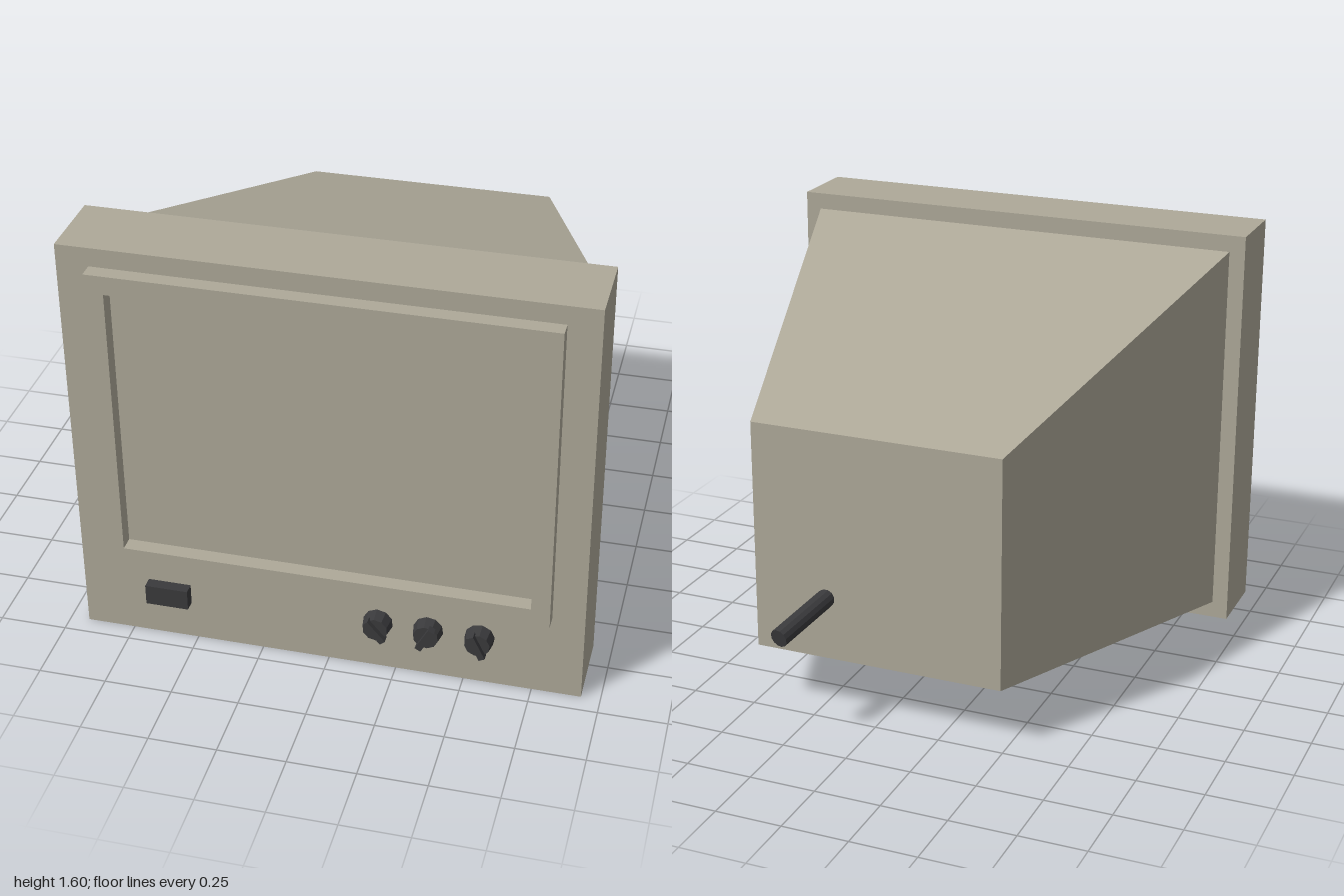
import * as THREE from 'three';

const shell = new THREE.MeshStandardMaterial({ color: 0xaea999, flatShading: true });
const dark = new THREE.MeshStandardMaterial({ color: 0x3a3a3c, flatShading: true });

export function createModel() {
  const model = new THREE.Group();
  const add = (name, geometry, material, x = 0, y = 0, z = 0, parent = model) => {
    const mesh = new THREE.Mesh(geometry, material);
    mesh.name = name;
    mesh.position.set(x, y, z);
    parent.add(mesh);
    return mesh;
  };

  // Front bezel slab
  add('bezel', new THREE.BoxGeometry(1.86, 1.6, 0.29), shell, 0, 0.8, 0.785);

  // Raised rim around the screen; the bezel face forms the flat screen
  const rim = new THREE.Shape([[-0.813, 0.335], [0.813, 0.335], [0.813, 1.53], [-0.813, 1.53]]
    .map(([x, y]) => new THREE.Vector2(x, y)));
  rim.holes.push(new THREE.Path([[-0.745, 0.405], [-0.745, 1.46], [0.745, 1.46], [0.745, 0.405]]
    .map(([x, y]) => new THREE.Vector2(x, y))));
  add('screenRim', new THREE.ExtrudeGeometry(rim, { depth: 0.057, bevelEnabled: false }), shell, 0, 0, 0.93);

  // Rear housing: a box tapering towards the back
  const housing = new THREE.BoxGeometry(2, 1, 1);
  const p = housing.attributes.position;
  for (let i = 0; i < p.count; i++) {
    const front = p.getZ(i) > 0, top = p.getY(i) > 0;
    p.setXYZ(i,
      Math.sign(p.getX(i)) * (front ? 0.87 : 0.483),
      top ? (front ? 1.537 : 1.115) : (front ? 0.065 : 0.235),
      front ? 0.645 : -0.73);
  }
  housing.computeVertexNormals();
  add('rearHousing', housing, shell);

  // Power button
  add('powerButton', new THREE.BoxGeometry(0.16, 0.08, 0.045), dark, -0.6, 0.195, 0.95);

  // Control knobs: faceted disc with a grip bar, each turned differently
  [[0.185, 0.7], [0.37, -0.5], [0.557, 0.45]].forEach(([x, turn], i) => {
    const knob = new THREE.Group();
    knob.name = `knob${i + 1}`;
    knob.position.set(x, 0.2, 0.93);
    knob.rotation.z = turn;
    const disc = new THREE.CylinderGeometry(0.046, 0.055, 0.05, 10).rotateX(Math.PI / 2);
    add('knobDisc', disc, dark, 0, 0, 0.025, knob);
    add('knobGrip', new THREE.BoxGeometry(0.024, 0.1, 0.03), dark, 0, 0, 0.054, knob);
    model.add(knob);
  });

  // Feet behind the bezel
  [-0.65, 0.61].forEach((x, i) => {
    add(i ? 'leftFoot' : 'rightFoot', new THREE.CylinderGeometry(0.077, 0.087, 0.072, 10), dark, x, 0.036, 0.612);
  });

  // Cable stub leaving the rear panel
  const start = new THREE.Vector3(0.19, 0.484, -0.68), end = new THREE.Vector3(0.257, 0.42, -0.993);
  const along = end.clone().sub(start);
  const cable = add('cable', new THREE.CylinderGeometry(0.035, 0.035, along.length(), 12), dark);
  cable.position.copy(start).add(end).multiplyScalar(0.5);
  cable.quaternion.setFromUnitVectors(new THREE.Vector3(0, 1, 0), along.normalize());

  return model;
}
